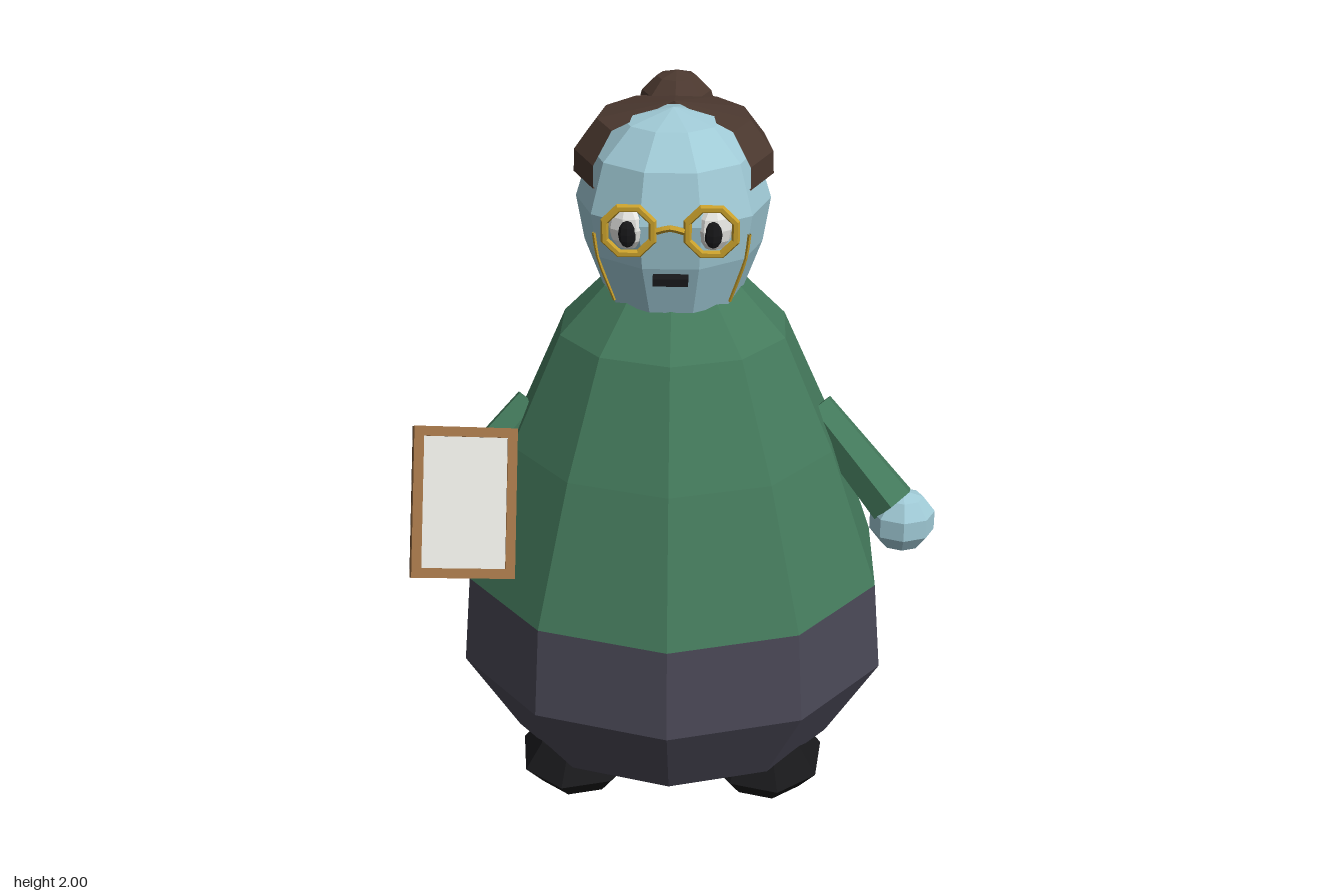
import * as THREE from 'three';

const paint = (color) => new THREE.MeshStandardMaterial({ color, flatShading: true, side: THREE.DoubleSide });
const V = (x, y, z) => new THREE.Vector3(x, y, z);
const rad = THREE.MathUtils.degToRad;

export function createModel() {
  const model = new THREE.Group();
  const skin = paint(0xa0cad6), green = paint(0x447a5c), slate = paint(0x4a4856), brown = paint(0x4b382f);
  const gold = paint(0xc9a02c), black = paint(0x18181a), white = paint(0xe6e6e2);
  const wood = paint(0x9a6e44), darkWood = paint(0x4a3424), paper = paint(0xdcdcd6);

  function add(name, geometry, material, position = [0, 0, 0], scale = [1, 1, 1], parent = model) {
    const mesh = new THREE.Mesh(geometry, material);
    mesh.name = name;
    mesh.position.set(...position);
    mesh.scale.set(...scale);
    parent.add(mesh);
    return mesh;
  }
  const lathe = (points, sides, start = 0, length = 360) =>
    new THREE.LatheGeometry(points.map(([r, y]) => new THREE.Vector2(r, y)), sides, rad(start), rad(length));
  const ball = (w, h) => new THREE.SphereGeometry(1, w, h);

  // Ten-sided body, slightly flattened front to back
  add('trousers', lathe([[0, 0.15], [0.465, 0.15], [0.615, 0.4], [0.592, 0.66]], 10), slate, [0, 0, 0], [1, 1, 0.9]);
  add('jumper', lathe([[0.592, 0.66], [0.455, 1.055], [0.315, 1.37], [0.19, 1.5], [0, 1.5]], 10), green,
    [0, 0, 0], [1, 1, 0.9]);

  // Head
  add('head', lathe([[0, 1.47], [0.182, 1.48], [0.234, 1.62], [0.254, 1.74], [0.214, 1.87], [0.13, 1.95], [0, 1.98]], 10, 18),
    skin, [0, 0, 0.02], [1, 1, 0.95]);
  add('mouth', new THREE.BoxGeometry(0.09, 0.02, 0.05), black, [0, 1.595, 0.237]);

  // Hair wraps the back and sides, with the lower edge lifted over the ears
  const hairShape = lathe([[0.17, 1.74], [0.235, 1.72], [0.262, 1.78], [0.26, 1.86], [0.2, 1.94], [0, 1.98]], 8, 50, 260);
  const p = hairShape.attributes.position;
  for (let i = 0; i < p.count; i++) {
    const lift = THREE.MathUtils.smoothstep(p.getZ(i), -0.13, 0.0);
    p.setY(i, Math.max(p.getY(i), 1.72 + 0.08 * lift));
  }
  add('hair', hairShape, brown, [0, 0, -0.03]);
  add('hairBun', ball(8, 6), brown, [0, 1.893, -0.235], [0.107, 0.107, 0.107]);

  // Spectacle bridge
  const bridge = new THREE.CatmullRomCurve3([V(-0.035, 1.735, 0.265), V(0, 1.745, 0.268), V(0.035, 1.735, 0.265)]);
  add('spectacleBridge', new THREE.TubeGeometry(bridge, 4, 0.009, 5), gold);

  for (const [side, s] of [['left', 1], ['right', -1]]) {
    // Eyes, spectacle rims and cheek cords
    const eye = add(side + 'Eye', ball(8, 6), white, [s * 0.11, 1.73, 0.222], [0.05, 0.06, 0.036]);
    eye.rotation.y = s * 0.3;
    add(side + 'Pupil', ball(8, 6), black, [s * 0.108, 1.722, 0.253], [0.023, 0.036, 0.012]);
    const rim = add(side + 'SpectacleRim', new THREE.TorusGeometry(0.065, 0.011, 6, 8), gold, [s * 0.104, 1.735, 0.263]);
    rim.rotation.z = Math.PI / 8;
    const cord = new THREE.CatmullRomCurve3(
      [V(s * 0.199, 1.69, 0.16), V(s * 0.19, 1.62, 0.151), V(s * 0.15, 1.49, 0.125)]);
    add(side + 'Cord', new THREE.TubeGeometry(cord, 6, 0.005, 4), gold);

    // Sleeve running from shoulder to wrist, and the hand
    const a = V(s * 0.39, 1.12, -0.01), b = V(s * 0.605, 0.885, 0.105);
    const sleeve = add(side + 'Sleeve', new THREE.CylinderGeometry(0.055, 0.07, a.distanceTo(b), 6), green);
    sleeve.position.copy(a).lerp(b, 0.5);
    sleeve.quaternion.setFromUnitVectors(V(0, 1, 0), a.clone().sub(b).normalize());
    add(side + 'Hand', ball(8, 5), skin, [s * 0.632, 0.842, 0.113], [0.093, 0.089, 0.083]);

    // Shoe
    const shoe = add(side + 'Shoe', ball(8, 4), black, [s * 0.26, 0.1, 0.155], [0.175, 0.095, 0.22]);
    shoe.rotation.y = s * 0.2;
  }

  // Tilted framed board in the right hand
  const board = new THREE.Group();
  board.name = 'framedBoard';
  const u = V(0.964, -0.132, -0.232).normalize(), v = V(0, 0.869, -0.495).normalize();
  board.quaternion.setFromRotationMatrix(new THREE.Matrix4().makeBasis(u, v, u.clone().cross(v)));
  board.position.set(-0.545, 0.982, 0.315);
  model.add(board);
  const [w, h, border] = [0.275, 0.4, 0.026];
  for (const s of [1, -1]) {
    add('frameRail', new THREE.BoxGeometry(w, border, 0.036), wood, [0, s * (h - border) / 2, 0], [1, 1, 1], board);
    add('frameStile', new THREE.BoxGeometry(border, h - 2 * border, 0.036), wood, [s * (w - border) / 2, 0, 0], [1, 1, 1], board);
  }
  add('boardBack', new THREE.BoxGeometry(w, h, 0.008), darkWood, [0, 0, -0.02], [1, 1, 1], board);
  add('sheet', new THREE.BoxGeometry(w - 2 * border, h - 2 * border, 0.024), paper, [0, 0, 0], [1, 1, 1], board);

  return model;
}
